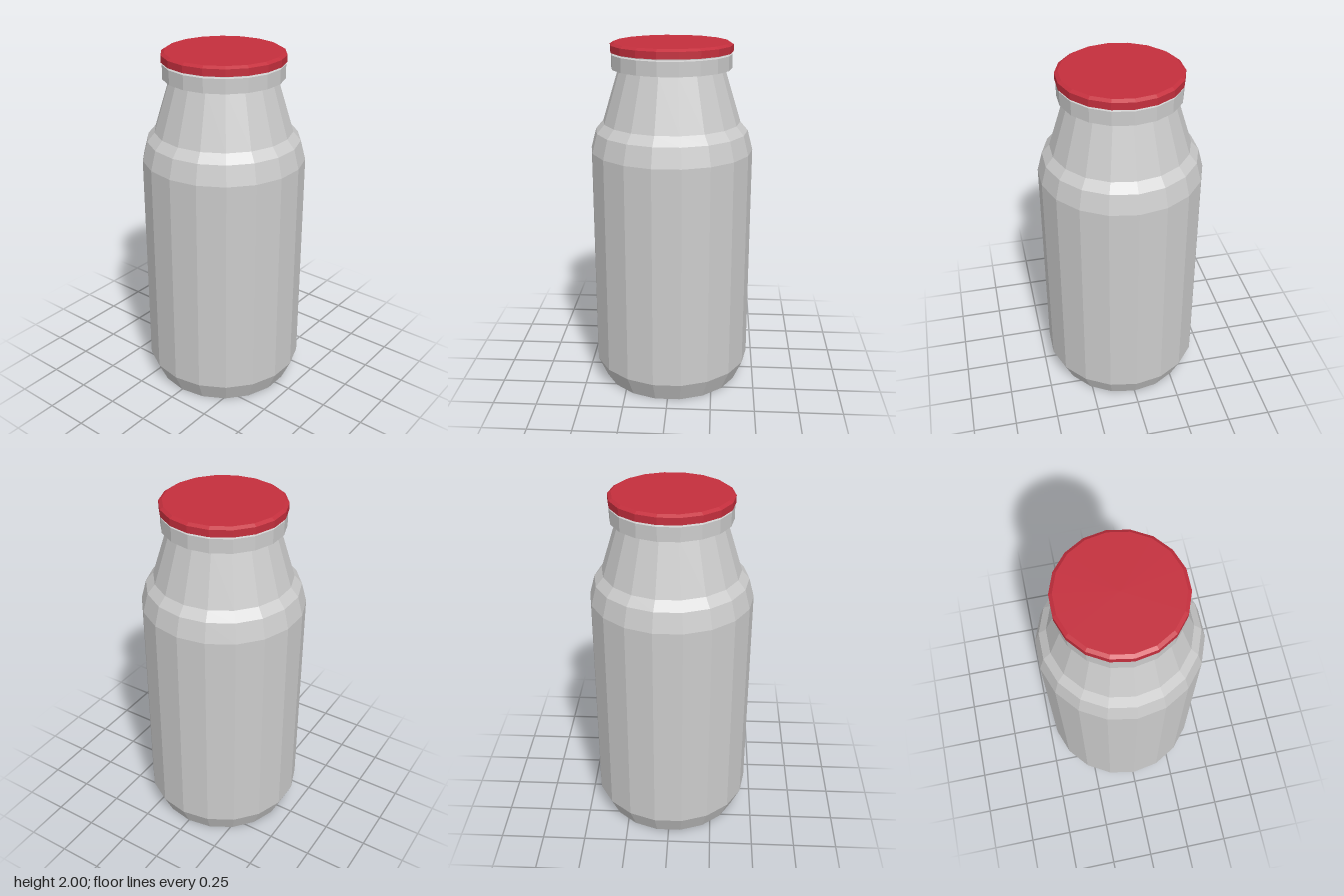
import * as THREE from 'three';

const SIDES = 18;

// Faceted solid of revolution from [radius, height] pairs, listed bottom to top
function turned(name, profile, color) {
  const points = profile.map(([r, y]) => new THREE.Vector2(r, y));
  const material = new THREE.MeshStandardMaterial({ color, flatShading: true });
  const mesh = new THREE.Mesh(new THREE.LatheGeometry(points, SIDES), material);
  mesh.name = name;
  return mesh;
}

export function createModel() {
  const bottle = new THREE.Group();
  bottle.name = 'bottle';

  // Body with bevelled base, rounded shoulder, tapered neck and rim collar
  bottle.add(turned('bottleBody', [
    [0, 0], [0.406, 0], [0.46, 0.12], [0.46, 1.4], [0.431, 1.51],
    [0.388, 1.56], [0.296, 1.858], [0.336, 1.858], [0.336, 1.937],
    [0.322, 1.942], [0.322, 1.948], [0, 1.948],
  ], 0xcccccc));

  // Flat lid with a small chamfer around its top
  bottle.add(turned('lid', [
    [0, 1.949], [0.341, 1.949], [0.341, 1.988], [0.322, 2], [0, 2],
  ], 0xc42f3d));

  return bottle;
}
